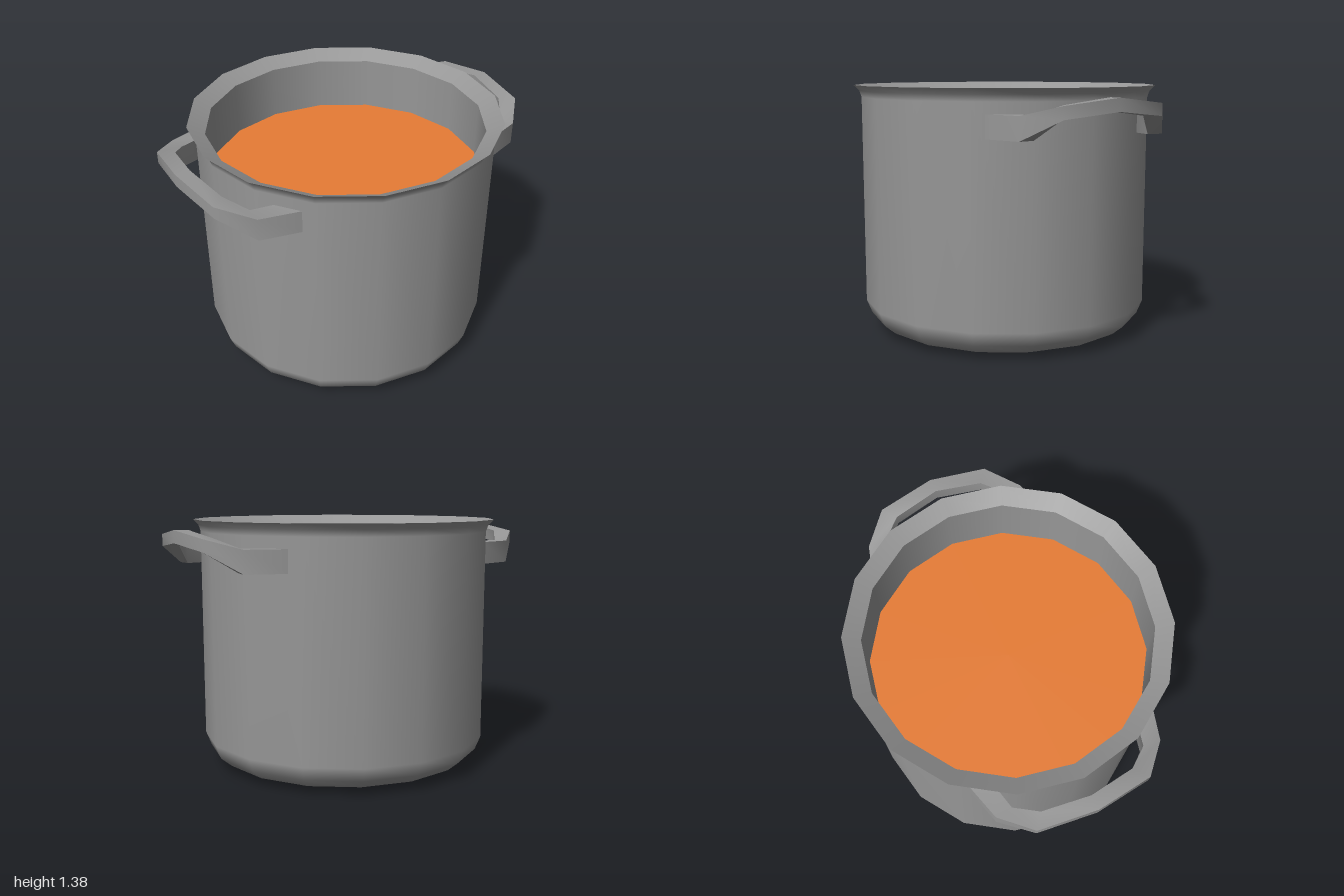
import * as THREE from 'three';
import { toCreasedNormals } from 'three/addons/utils/BufferGeometryUtils.js';

const SIDES = 16;

// Revolved surface from [radius, height] pairs
function lathe(name, profile, material) {
  const points = profile.map(([r, y]) => new THREE.Vector2(r, y));
  const mesh = new THREE.Mesh(new THREE.LatheGeometry(points, SIDES), material);
  mesh.name = name;
  return mesh;
}

// Bar joining four-cornered sections, capped at both ends, smooth along its length
function barGeometry(sections) {
  const verts = [];
  const tri = (...corners) => corners.forEach((c) => verts.push(...c));
  for (let i = 0; i < sections.length - 1; i++) {
    const a = sections[i], b = sections[i + 1];
    for (let k = 0; k < 4; k++) {
      const n = (k + 1) % 4;
      tri(a[k], b[k], a[n]);
      tri(a[n], b[k], b[n]);
    }
  }
  const s = sections[0], e = sections[sections.length - 1];
  tri(s[0], s[1], s[2]);
  tri(s[0], s[2], s[3]);
  tri(e[0], e[2], e[1]);
  tri(e[0], e[3], e[2]);
  const geometry = new THREE.BufferGeometry();
  geometry.setAttribute('position', new THREE.Float32BufferAttribute(verts, 3));
  return toCreasedNormals(geometry, 0.9);
}

export function createModel() {
  const group = new THREE.Group();
  const metal = new THREE.MeshStandardMaterial({ color: 0x979797 });
  const broth = new THREE.MeshStandardMaterial({ color: 0xe77c35 });

  // Outer shell with rounded base and flared lip
  group.add(lathe('potBody', [
    [0, 0], [0.61, 0], [0.71, 0.035], [0.77, 0.085], [0.8, 0.16],
    [0.8, 1.31], [0.812, 1.345], [0.842, 1.375],
  ], metal));

  // Sloping rim and inner wall
  group.add(lathe('rim', [[0.842, 1.375], [0.75, 1.325]], metal));
  group.add(lathe('innerWall', [[0.75, 1.325], [0.75, 1.03]], metal));

  // Liquid surface
  group.add(lathe('soup', [[0.75, 1.03], [0, 1.03]], broth));

  // Half a handle: outer x, outer z, inner x, inner z, bottom, top
  const half = [
    [0.595, 0.511, 0.67, 0.39, 1.13, 1.25],
    [0.81, 0.45, 0.8, 0.36, 1.13, 1.25],
    [0.96, 0.305, 0.885, 0.248, 1.233, 1.298],
    [1, 0, 0.923, 0, 1.264, 1.331],
  ];
  const mirrored = half.slice(0, -1).reverse()
    .map(([ox, oz, ix, iz, b, t]) => [ox, -oz, ix, -iz, b, t]);
  const sections = [...half, ...mirrored].map(([ox, oz, ix, iz, b, t]) => [
    [ox, b, oz], [ox, t, oz], [ix, t, iz], [ix, b, iz],
  ]);
  const handleGeometry = barGeometry(sections);
  ['leftHandle', 'rightHandle'].forEach((name, i) => {
    const handle = new THREE.Mesh(handleGeometry, metal);
    handle.name = name;
    handle.rotation.y = i * Math.PI;
    group.add(handle);
  });

  return group;
}
